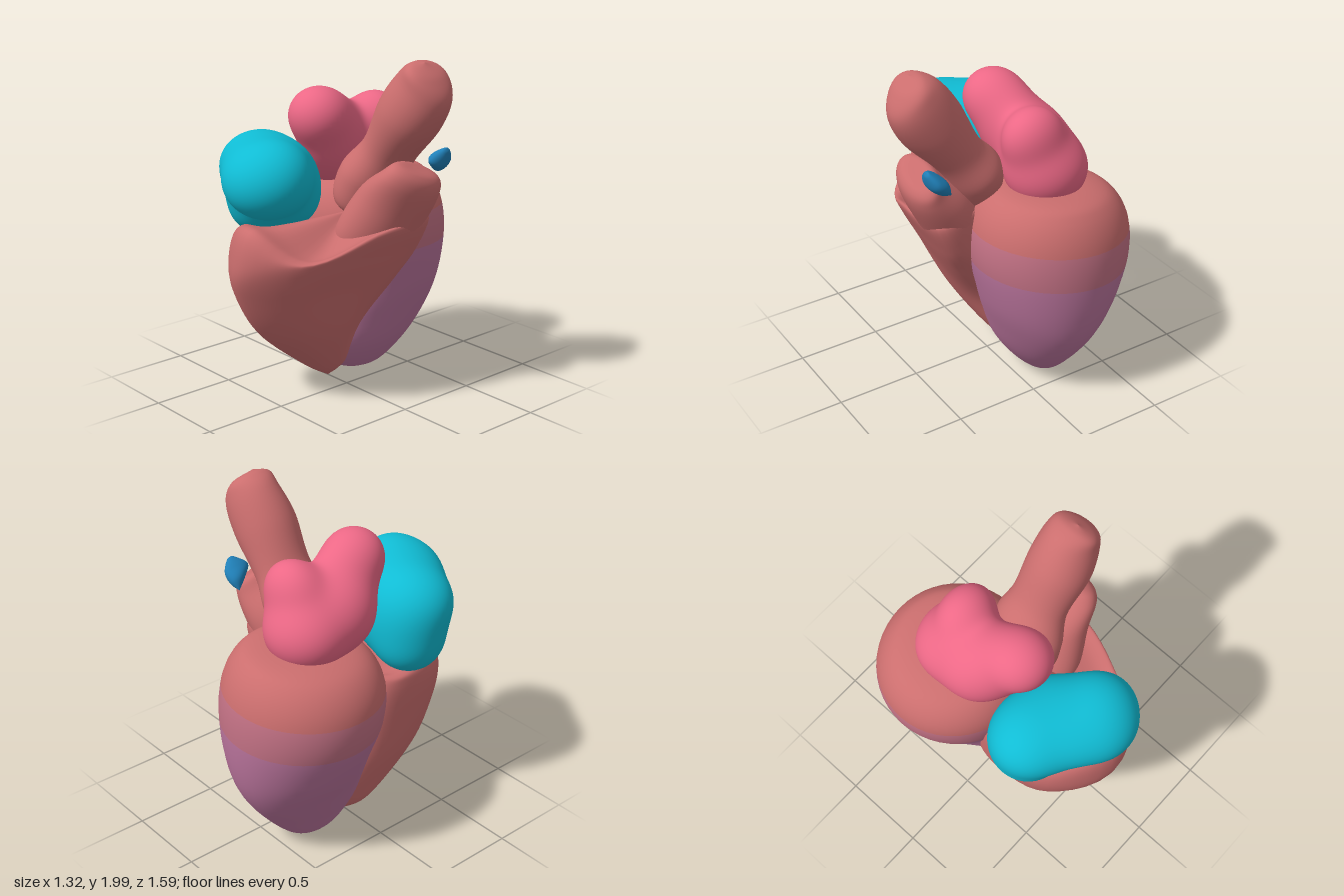
import * as THREE from 'three';
import { mergeVertices } from 'three/addons/utils/BufferGeometryUtils.js';

const V = (x, y, z) => new THREE.Vector3(x, y, z);
const mat = (color) => new THREE.MeshStandardMaterial({ color, side: THREE.DoubleSide });
const RED = mat(0xcb6e6e), ROSE = mat(0xc27184), MAUVE = mat(0xba749c);
const CYAN = mat(0x10bcd4), PINK = mat(0xec6886), BLUE = mat(0x2080b8);
const AROUND = 48, ALONG = 56;

function mesh(name, geometry, material) {
  const m = new THREE.Mesh(geometry, material);
  m.name = name;
  return m;
}

// Smooth skin over a stack of closed rings of equally many points
function loft(rings) {
  const rounds = rings.map((r) => {
    const c = new THREE.CatmullRomCurve3(r, true, 'catmullrom', 0.5);
    return Array.from({ length: AROUND }, (_, i) => c.getPoint(i / AROUND));
  });
  const pos = [], idx = [];
  const rails = rounds[0].map((_, i) =>
    new THREE.CatmullRomCurve3(rounds.map((r) => r[i]), false, 'catmullrom', 0.5));
  for (let j = 0; j <= ALONG; j++)
    for (let i = 0; i < AROUND; i++) {
      pos.push(...rails[i].getPoint(j / ALONG).toArray());
      if (j === ALONG) continue;
      const a = j * AROUND + i, b = j * AROUND + (i + 1) % AROUND;
      idx.push(a, a + AROUND, b, b, a + AROUND, b + AROUND);
    }
  const g = new THREE.BufferGeometry();
  g.setAttribute('position', new THREE.Float32BufferAttribute(pos, 3));
  g.setIndex(idx);
  g.computeVertexNormals();
  return g;
}

// Loft of ellipses [x, y, z, radius, zRadius], leaning towards +x; shear lifts the front
function ellipses(rows, lean = 0, shear = 0) {
  return loft(rows.map(([x, y, z, r, rz]) => Array.from({ length: 16 }, (_, i) => {
    const t = i * Math.PI / 8, c = r * Math.cos(t), s = rz * Math.sin(t);
    return V(x + c * Math.cos(lean), y - c * Math.sin(lean) + s * shear, z + s);
  })));
}

// Sphere wrapped onto a soft union of ellipsoids [x, y, z, rx, ry, rz]
function blob(center, lobes) {
  const sharp = 19;
  let g = new THREE.IcosahedronGeometry(1, 20);
  g.deleteAttribute('uv');
  g.deleteAttribute('normal');
  g = mergeVertices(g, 1e-4);
  const field = (p) => -Math.log(lobes.reduce((sum, [x, y, z, a, b, c]) => {
    const d = (Math.hypot((p.x - x) / a, (p.y - y) / b, (p.z - z) / c) - 1) * Math.min(a, b, c);
    return sum + Math.exp(-sharp * d);
  }, 0)) / sharp;
  const at = g.attributes.position, dir = V(), p = V();
  for (let i = 0; i < at.count; i++) {
    dir.fromBufferAttribute(at, i).normalize();
    let far = 1;
    while (far > 0.03 && field(p.copy(center).addScaledVector(dir, far)) > 0) far -= 0.02;
    let lo = far, hi = far + 0.02;
    for (let k = 0; k < 10; k++) {
      const mid = (lo + hi) / 2;
      if (field(p.copy(center).addScaledVector(dir, mid)) > 0) hi = mid; else lo = mid;
    }
    p.copy(center).addScaledVector(dir, lo);
    at.setXYZ(i, p.x, p.y, p.z);
  }
  g.computeVertexNormals();
  return g;
}

// Rear ventricle, coloured in bands from the tip to the base
function rearVentricle() {
  const group = new THREE.Group();
  group.name = 'rearVentricle';
  const whole = ellipses([
    [-0.17, 0.005, -0.29, 0, 0], [-0.17, 0.04, -0.26, 0.1, 0.16], [-0.15, 0.2, -0.265, 0.21, 0.315],
    [-0.155, 0.4, -0.315, 0.305, 0.4], [-0.17, 0.6, -0.345, 0.39, 0.43],
    [-0.19, 0.85, -0.335, 0.46, 0.46], [-0.2, 1.05, -0.325, 0.45, 0.445],
    [-0.2, 1.19, -0.33, 0.37, 0.37], [-0.19, 1.25, -0.35, 0.24, 0.25], [-0.19, 1.265, -0.35, 0, 0],
  ], -0.07);
  const idx = Array.from(whole.index.array);
  const cuts = [0, 30, 36, ALONG].map((row) => row * AROUND * 6);
  [['ventricleTip', MAUVE], ['ventricleMiddle', ROSE], ['ventricleBase', RED]].forEach(([name, m], k) => {
    const g = whole.clone();
    g.setIndex(idx.slice(cuts[k], cuts[k + 1]));
    group.add(mesh(name, g, m));
  });
  return group;
}

// Front ventricle: wedge with an uneven rim and a roof that rises to the back
function frontVentricle() {
  const level = (y, pts) => pts.map(([x, z], i) => V(x, Array.isArray(y) ? y[i] : y, z));
  const rim = level([1.06, 0.94, 1.09, 1.02, 0.96, 1, 1.12, 1.1],
    [[0.45, 0.17], [0.28, 0.53], [0.02, 0.71], [-0.31, 0.51], [-0.4, 0.2], [-0.22, 0], [0.18, -0.2], [0.45, -0.21]]);
  const middle = V(0.08, 1.1, 0.06);
  return loft([
    rim.map(() => V(-0.17, 0.005, 0)),
    level(0.12, [[-0.04, 0.03], [-0.07, 0.15], [-0.2, 0.18], [-0.29, 0.1], [-0.27, -0.05], [-0.23, -0.15], [-0.15, -0.2], [-0.09, -0.09]]),
    level(0.4, [[0.14, 0.14], [0.07, 0.4], [-0.14, 0.52], [-0.34, 0.39], [-0.38, 0.1], [-0.3, -0.1], [-0.1, -0.25], [0.06, -0.06]]),
    level(0.7, [[0.28, 0.2], [0.18, 0.55], [-0.1, 0.71], [-0.38, 0.5], [-0.42, 0.15], [-0.3, -0.05], [0, -0.2], [0.26, -0.13]]),
    level(0.9, [[0.38, 0.22], [0.27, 0.58], [-0.02, 0.76], [-0.37, 0.54], [-0.43, 0.2], [-0.3, 0], [0.1, -0.2], [0.37, -0.2]]),
    rim,
    rim.map((p) => p.clone().lerp(middle, 0.3).setY(p.y * 0.85 + middle.y * 0.15 - 0.02)),
    rim.map(() => middle.clone()),
  ]);
}

export function createModel() {
  const model = new THREE.Group();
  model.name = 'heart';
  model.add(rearVentricle(), mesh('frontVentricle', frontVentricle(), RED));

  // Outflow neck rising from the front ventricle
  model.add(mesh('outflowNeck', ellipses([
    [0.1, 0.75, 0.06, 0.08, 0.12], [0.2, 0.93, 0.02, 0.165, 0.21], [0.335, 1.17, -0.04, 0.175, 0.21],
    [0.46, 1.32, -0.06, 0.125, 0.19], [0.49, 1.39, -0.08, 0.08, 0.14], [0.48, 1.405, -0.08, 0, 0],
  ], 0.45, 0.3), RED));

  // Great artery
  model.add(mesh('artery', ellipses([
    [0.06, 1.11, -0.01, 0, 0], [0.08, 1.15, -0.02, 0.13, 0.16], [0.145, 1.31, -0.07, 0.165, 0.215],
    [0.26, 1.47, -0.09, 0.145, 0.17], [0.415, 1.69, -0.09, 0.185, 0.18],
    [0.515, 1.85, -0.1, 0.165, 0.155], [0.54, 1.94, -0.09, 0.09, 0.12], [0.53, 1.985, -0.08, 0, 0],
  ], 0.55), RED));

  // Front atrium
  model.add(mesh('frontAtrium', blob(V(-0.15, 1.29, 0.43), [
    [-0.31, 1.25, 0.34, 0.21, 0.24, 0.2], [-0.14, 1.36, 0.46, 0.22, 0.17, 0.22],
    [0.04, 1.36, 0.54, 0.18, 0.18, 0.17], [-0.02, 1.33, 0.62, 0.17, 0.15, 0.155],
    [-0.35, 1.09, 0.34, 0.14, 0.13, 0.16], [-0.12, 1.21, 0.3, 0.15, 0.17, 0.14],
    [-0.35, 1.36, 0.39, 0.16, 0.13, 0.15],
  ]), CYAN));

  // Rear atrium
  model.add(mesh('rearAtrium', blob(V(-0.17, 1.46, -0.12), [
    [-0.19, 1.33, -0.31, 0.23, 0.2, 0.21], [-0.09, 1.56, -0.31, 0.16, 0.15, 0.13],
    [-0.24, 1.4, -0.1, 0.18, 0.2, 0.19], [-0.11, 1.63, 0.12, 0.16, 0.15, 0.155],
    [-0.14, 1.5, 0, 0.15, 0.19, 0.16],
  ]), PINK));

  // Small vessel stub beside the outflow
  model.add(mesh('vesselStub', ellipses([
    [0.41, 1.34, -0.29, 0, 0], [0.45, 1.385, -0.27, 0.04, 0.05], [0.5, 1.43, -0.24, 0.045, 0.08],
    [0.535, 1.48, -0.25, 0.02, 0.03], [0.54, 1.495, -0.25, 0, 0],
  ], 0.9), BLUE));
  return model;
}
